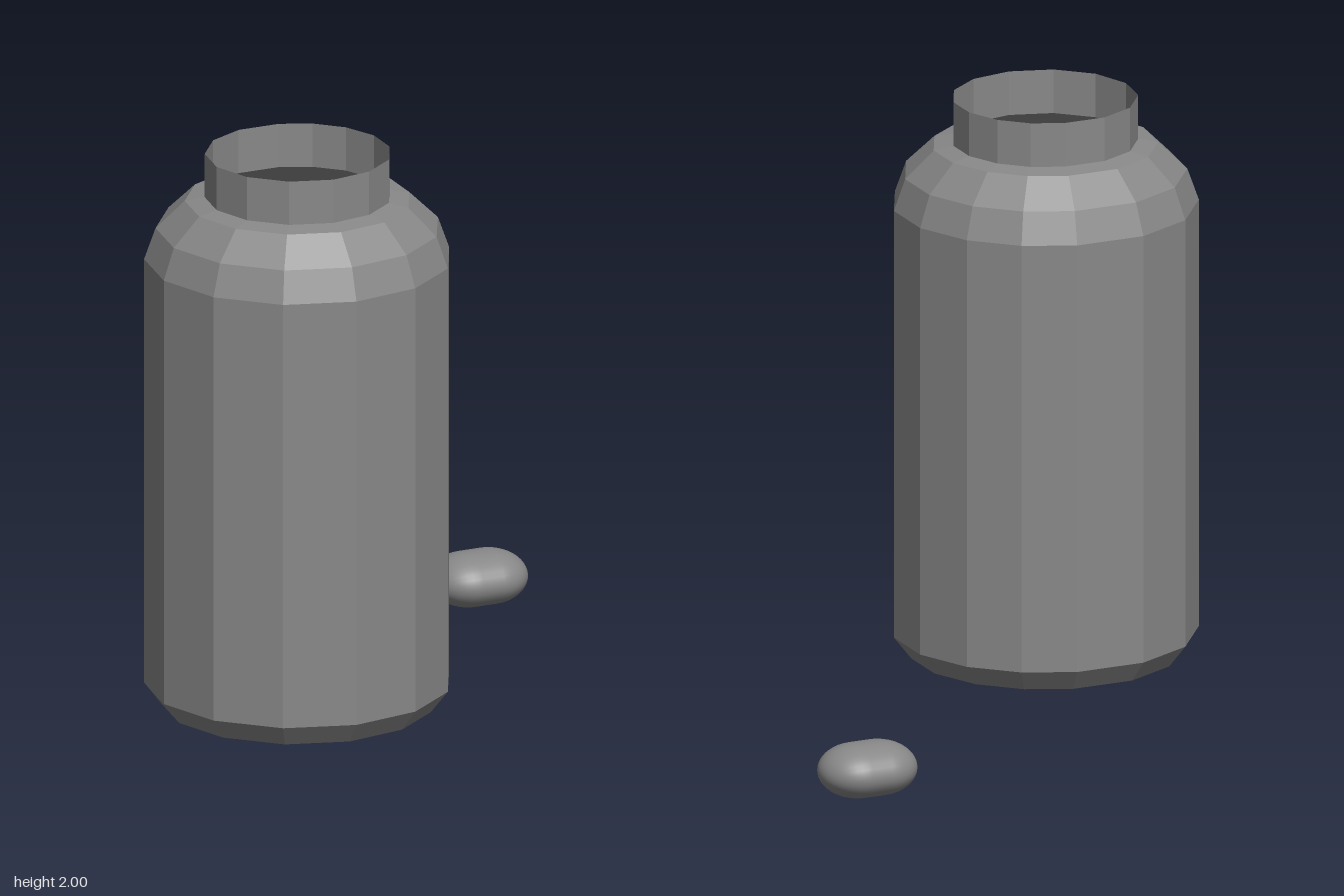
import * as THREE from 'three';

// Facet corner angles in degrees around the bottle axis, measured from +z toward +x
const FACETS = [-166.2, -140.3, -113, -86.2, -58.9, -31.2, -3.4, 23.8, 50.4, 76, 100.2, 123.7, 145.4, 166.2, 193.8];

// Lathe with unevenly spaced facets
function facetedLathe(profile) {
  const points = profile.map(([r, y]) => new THREE.Vector2(r, y));
  const geometry = new THREE.LatheGeometry(points, FACETS.length - 1);
  const pos = geometry.attributes.position;
  for (let i = 0; i < pos.count; i++) {
    const [r, y] = profile[i % profile.length];
    const a = THREE.MathUtils.degToRad(FACETS[Math.floor(i / profile.length)]);
    pos.setXYZ(i, r * Math.sin(a), y, r * Math.cos(a));
  }
  const flat = geometry.toNonIndexed();
  flat.computeVertexNormals();
  return flat;
}

export function createModel() {
  const group = new THREE.Group();
  const bottleGrey = new THREE.MeshStandardMaterial({ color: 0x888888, flatShading: true, side: THREE.DoubleSide });
  const pillGrey = new THREE.MeshStandardMaterial({ color: 0x888888 });

  const bottle = new THREE.Group();
  bottle.name = 'bottle';
  bottle.position.set(-0.386, 0, 0.282);
  group.add(bottle);

  // Floor, bevelled foot, straight wall and rounded shoulder
  const body = new THREE.Mesh(facetedLathe([
    [0, 0.095], [0.45, 0.095], [0.508, 0.17], [0.508, 1.638],
    [0.47, 1.745], [0.374, 1.838], [0.308, 1.85],
  ]), bottleGrey);
  body.name = 'bottleBody';

  // Open neck
  const neck = new THREE.Mesh(facetedLathe([[0.308, 1.85], [0.308, 2]]), bottleGrey);
  neck.name = 'bottleNeck';
  bottle.add(body, neck);

  // Flattened capsule lying along x
  const pillGeometry = new THREE.CapsuleGeometry(0.132, 0.074, 12, 32);
  pillGeometry.rotateZ(Math.PI / 2);
  pillGeometry.scale(1, 0.09 / 0.132, 1);
  const pill = new THREE.Mesh(pillGeometry, pillGrey);
  pill.name = 'pill';
  pill.position.set(0.72, 0.09, -0.656);
  group.add(pill);

  return group;
}
